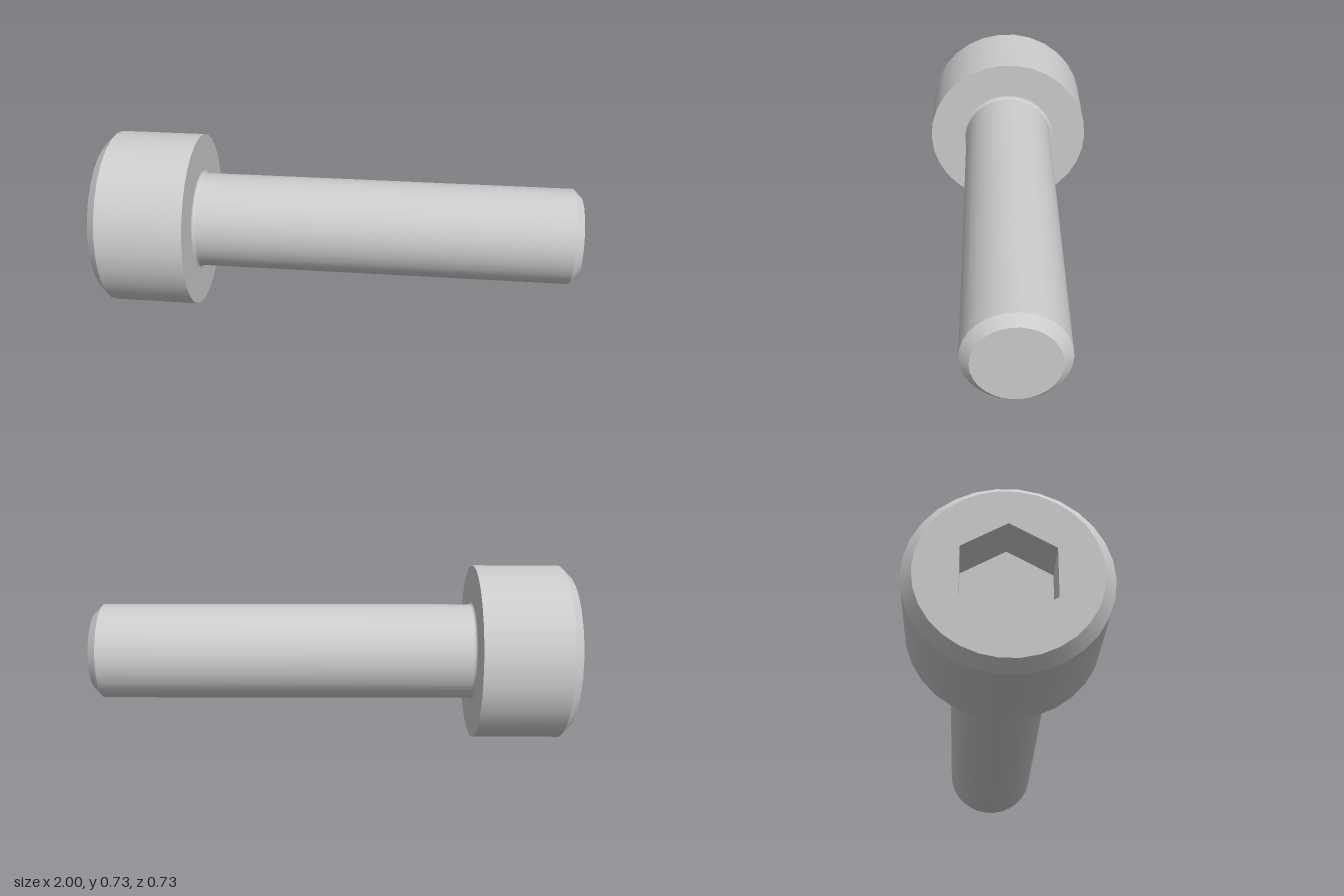
import * as THREE from 'three';

const SIDES = 30;
const HEAD_R = 0.3667, SHANK_R = 0.2, TIP_R = 0.164;
const HEAD_BACK = -0.6, CHAMFER = 0.04, FILLET = 0.0133;
const SOCKET_R = 0.1925, SOCKET_DEPTH = 0.173;
const AXIS_Y = HEAD_R * Math.cos(Math.PI / SIDES);

// Turns a profile of [radius, x] points around the screw's long axis
function turned(points, sides = SIDES, start = 0) {
  const profile = points.map(([r, x]) => new THREE.Vector2(r, x));
  return new THREE.LatheGeometry(profile, sides, start).rotateZ(-Math.PI / 2);
}

// Corner points of a regular polygon
function polygon(radius, sides, start) {
  return Array.from({ length: sides }, (_, i) => {
    const a = start + (i / sides) * Math.PI * 2;
    return new THREE.Vector2(radius * Math.cos(a), radius * Math.sin(a));
  });
}

export function createModel() {
  const steel = new THREE.MeshStandardMaterial({ color: 0xcccccc });
  steel.name = 'steel';
  const screw = new THREE.Group();
  screw.name = 'socketHeadScrew';
  screw.position.y = AXIS_Y;

  const head = new THREE.Group();
  head.name = 'head';
  const shank = new THREE.Group();
  shank.name = 'shank';
  screw.add(head, shank);

  function add(parent, name, geometry) {
    const mesh = new THREE.Mesh(geometry, steel);
    mesh.name = name;
    parent.add(mesh);
  }

  // Head: end face with a hexagonal opening
  const face = new THREE.Shape(polygon(HEAD_R - CHAMFER, SIDES, 0));
  face.holes.push(new THREE.Path(polygon(SOCKET_R, 6, Math.PI / 6)));
  add(head, 'headFace', new THREE.ShapeGeometry(face).rotateY(-Math.PI / 2).translate(-1, 0, 0));

  // Hexagonal socket: floor and six flat walls
  const socket = turned([
    [0, -1 + SOCKET_DEPTH], [SOCKET_R, -1 + SOCKET_DEPTH], [SOCKET_R, -1],
  ], 6, Math.PI / 6).toNonIndexed();
  socket.computeVertexNormals();
  add(head, 'hexSocket', socket);

  // Each turned surface is its own piece, so edges between them stay sharp
  add(head, 'headChamfer', turned([[HEAD_R - CHAMFER, -1], [HEAD_R, -1 + CHAMFER]]));
  add(head, 'headSide', turned([[HEAD_R, -1 + CHAMFER], [HEAD_R, HEAD_BACK]]));
  add(head, 'headUnderside', turned([[HEAD_R, HEAD_BACK], [SHANK_R + FILLET, HEAD_BACK]]));

  // Small rounded corner between head and shank
  const fillet = [];
  for (let i = 0; i <= 6; i++) {
    const a = (i / 6) * Math.PI / 2;
    fillet.push([
      SHANK_R + FILLET * (1 - Math.sin(a)),
      HEAD_BACK + FILLET * (1 - Math.cos(a)),
    ]);
  }
  add(shank, 'fillet', turned(fillet));

  // Shank with chamfered tip
  const tipStart = 1 - (SHANK_R - TIP_R);
  add(shank, 'shankSide', turned([[SHANK_R, HEAD_BACK + FILLET], [SHANK_R, tipStart]]));
  add(shank, 'tipChamfer', turned([[SHANK_R, tipStart], [TIP_R, 1]]));
  add(shank, 'tipFace', turned([[TIP_R, 1], [0, 1]]));

  const model = new THREE.Group();
  model.name = 'model';
  model.add(screw);
  return model;
}
